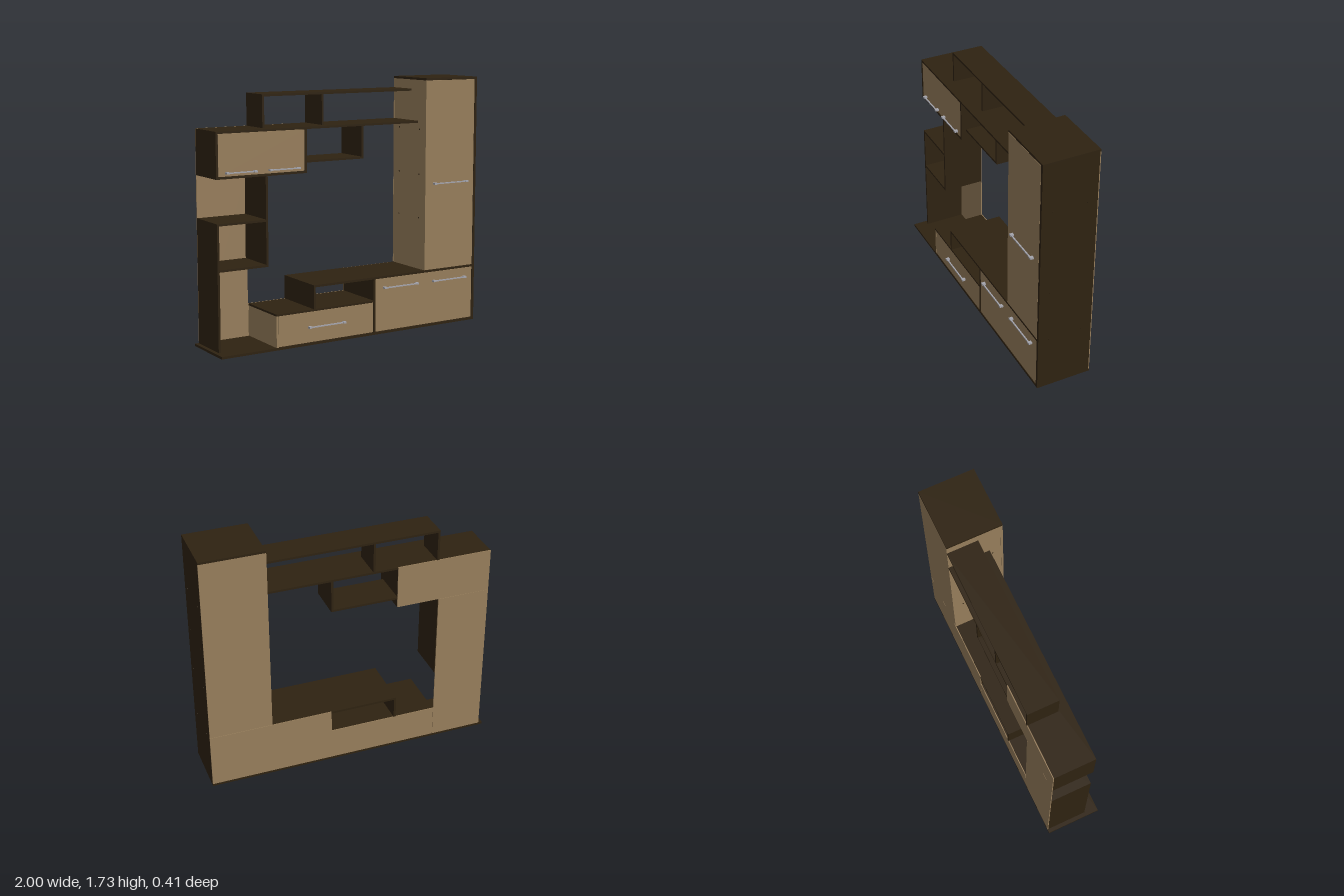
import * as THREE from 'three';

export function createModel() {
  const root = new THREE.Group();
  root.name = 'wallUnit';
  const mat = (name, color) => {
    const m = new THREE.MeshStandardMaterial({ color });
    m.name = name;
    return m;
  };
  const dark = mat('darkWood', 0x2e2211);
  const tan = mat('lightWood', 0x967d5b);
  const metal = mat('metal', 0xa3a3ab);
  const T = 0.015;                    // board thickness
  const BACK = -0.205, DEEP = 0.18, MID = 0.085, SHALLOW = 0.01;
  const IN = BACK + 0.006;            // inner face of the back panels

  // A board given by its limits on each axis
  const board = (name, m, x0, x1, y0, y1, z0, z1, parent = root) => {
    const mesh = new THREE.Mesh(new THREE.BoxGeometry(x1 - x0, y1 - y0, z1 - z0), m);
    mesh.position.set((x0 + x1) / 2, (y0 + y1) / 2, (z0 + z1) / 2);
    mesh.name = name;
    parent.add(mesh);
    return mesh;
  };

  // Plinth and tall outer side
  board('base', dark, -1, 0.977, 0.012, 0.028, BACK, DEEP);
  board('tallOuterSide', dark, 0.977, 0.997, 0.012, 1.715, IN, DEEP);
  board('outerSideFoot', dark, 0.977, 0.997, 0.012, 0.028, BACK, IN);

  // Tall cabinet
  board('tallTop', dark, 0.565, 0.997, 1.715, 1.73, BACK, DEEP);
  board('tallInnerSide', tan, 0.566, 0.581, 0.41, 1.715, IN, DEEP - 0.016);
  board('tallDoor', tan, 0.565, 0.976, 0.412, 1.713, DEEP - 0.015, DEEP);
  board('tallBack', tan, 0.565, 0.997, 0.412, 1.715, BACK, IN);

  // Low cabinet with a shelf running over the drawer
  board('lowTop', dark, -0.325, 0.977, 0.395, 0.41, IN, DEEP);
  board('lowTopRearEdge', dark, -0.325, 0.145, 0.395, 0.41, BACK, IN);
  board('shelfSupport', dark, -0.325, -0.31, 0.25, 0.395, BACK, DEEP);
  board('lowSide', dark, 0.145, 0.16, 0.028, 0.395, IN, DEEP);
  board('lowDoor', tan, 0.162, 0.975, 0.032, 0.393, DEEP - 0.017, DEEP - 0.002);
  board('lowBack', tan, 0.146, 0.997, 0.028, 0.409, BACK, IN);

  // Drawer cabinet
  board('drawerTop', dark, -0.605, 0.145, 0.237, 0.25, IN, DEEP);
  board('drawerSide', tan, -0.603, -0.588, 0.028, 0.237, IN, DEEP - 0.002);
  board('drawerFront', tan, -0.586, 0.143, 0.032, 0.235, DEEP - 0.017, DEEP - 0.002);
  board('drawerBack', tan, -0.608, 0.144, 0.028, 0.25, BACK, IN);

  // Open shelf column
  board('columnLeftSide', dark, -0.973, -0.958, 0.028, 0.842, IN, MID);
  board('columnRightSide', dark, -0.622, -0.607, 0.555, 1.137, IN, MID);
  board('columnTopShelf', dark, -0.973, -0.622, 0.842, 0.857, IN, MID);
  board('columnLowerShelf', dark, -0.958, -0.607, 0.547, 0.561, IN, MID);
  board('columnBack', tan, -0.973, -0.61, 0.028, 1.137, BACK, IN);

  // Hanging cabinet and long shelf
  board('longShelf', dark, -0.973, 0.565, 1.423, 1.437, IN, MID);
  board('longShelfRearEdge', dark, -0.315, 0.565, 1.423, 1.437, BACK, IN);
  board('hangingBottom', dark, -0.973, -0.315, 1.137, 1.151, IN, MID);
  board('hangingLeftSide', dark, -0.973, -0.958, 1.151, 1.423, IN, MID);
  board('hangingRightSide', dark, -0.33, -0.315, 1.151, 1.423, IN, MID);
  board('hangingDoor', tan, -0.956, -0.332, 1.153, 1.421, MID - 0.017, MID - 0.002);
  board('hangingBack', tan, -0.973, -0.315, 1.139, 1.437, BACK, IN);

  // Small shelf hung below the long shelf
  board('hungShelf', dark, -0.315, 0.145, 1.2, 1.214, BACK, 0.05);
  board('hungSupport', dark, 0.13, 0.145, 1.214, 1.423, BACK, 0.05);

  // Top shelf and its uprights
  board('topShelf', dark, -0.602, 0.565, 1.638, 1.652, BACK, SHALLOW);
  for (const x of [-0.602, -0.157]) {
    board('topShelfUpright', dark, x, x + T, 1.437, 1.638, BACK, SHALLOW);
  }

  // Bar handles
  const handle = (x0, x1, y, z) => {
    const g = new THREE.Group();
    g.name = 'handle';
    board('bar', metal, x0, x1, y - 0.004, y + 0.004, z + 0.013, z + 0.022, g);
    for (const x of [x0, x1 - 0.022]) {
      board('mount', metal, x, x + 0.022, y - 0.006, y + 0.006, z, z + 0.025, g);
    }
    root.add(g);
  };
  handle(-0.37, -0.085, 0.135, DEEP - 0.002);
  handle(0.22, 0.505, 0.33, DEEP - 0.002);
  handle(0.63, 0.915, 0.33, DEEP - 0.002);
  handle(0.63, 0.915, 1.01, DEEP);
  handle(-0.91, -0.69, 1.175, MID - 0.002);
  handle(-0.6, -0.375, 1.175, MID - 0.002);

  // Feet
  for (const x of [-0.94, -0.315, 0.31, 0.94]) {
    for (const z of [-0.15, 0.125]) {
      const foot = new THREE.Mesh(new THREE.CylinderGeometry(0.012, 0.012, 0.012, 16), metal);
      foot.position.set(x, 0.006, z);
      foot.name = 'foot';
      root.add(foot);
    }
  }

  // Screw caps on the tall cabinet sides
  const cap = (x, y, z) => {
    const c = new THREE.Mesh(new THREE.CylinderGeometry(0.005, 0.005, 0.004, 10), dark);
    c.rotation.z = Math.PI / 2;
    c.position.set(x, y, z);
    c.name = 'screwCap';
    root.add(c);
  };
  for (const z of [-0.13, 0.105]) {
    for (const y of [0.4, 0.77, 1.07, 1.38]) cap(0.998, y, z);
    for (const y of [0.77, 1.07, 1.38]) cap(0.565, y, z);
  }
  return root;
}
